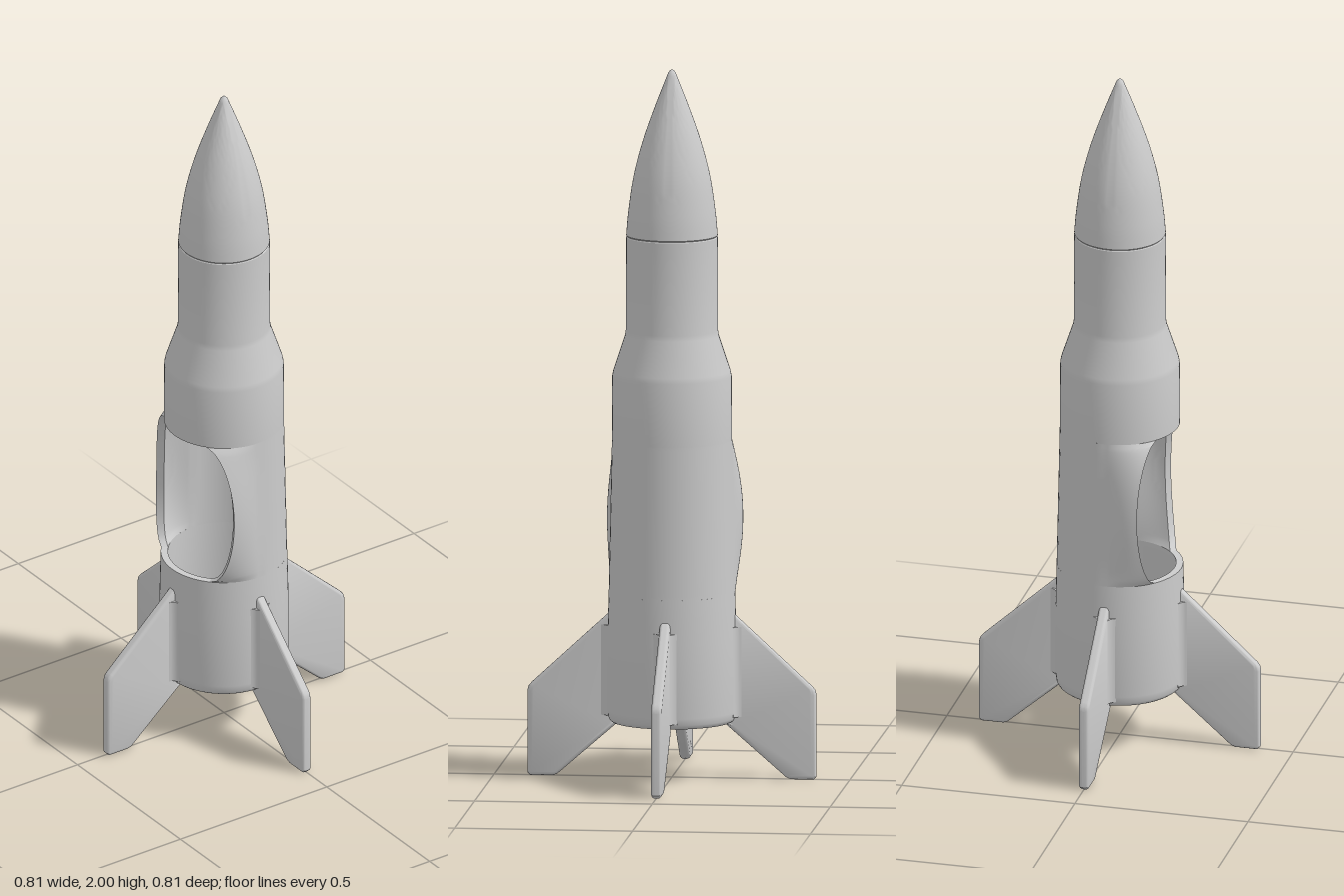
import * as THREE from 'three';
import { toCreasedNormals } from 'three/addons/utils/BufferGeometryUtils.js';

const material = new THREE.MeshStandardMaterial({ color: 0xcccccc, side: THREE.DoubleSide });
const WALL = 0.02;
const BAY_BOTTOM = 0.525, BAY_TOP = 0.955;
const BAY_R0 = 0.177, BAY_R1 = 0.168;

function addMesh(parent, name, geometry, crease = 0.5) {
  const mesh = new THREE.Mesh(toCreasedNormals(geometry, crease), material);
  mesh.name = name;
  parent.add(mesh);
  return mesh;
}

function lathe(points) {
  return new THREE.LatheGeometry(points.map(([r, y]) => new THREE.Vector2(r, y)), 72);
}

// Body wall around the front opening: round at the back, flared cheeks at the sides
function bayGeometry() {
  const rows = 40, half = 24, positions = [], index = [];
  const perRow = 2 * (2 * half + 1);
  for (let j = 0; j <= rows; j++) {
    const t = j / rows;
    const y = THREE.MathUtils.lerp(BAY_BOTTOM, BAY_TOP, t);
    const R = THREE.MathUtils.lerp(BAY_R0, BAY_R1, t);
    const flare = Math.pow(Math.max(0, Math.sin(Math.PI * t)), 0.6);
    const edgeZ = 0.132 - 0.034 * flare;
    const outer = [];
    for (let i = -half; i <= half; i++) {
      const u = Math.abs(i) / half, side = Math.sign(i);
      if (u <= 0.6) {
        const a = (u / 0.6) * Math.PI / 2;
        outer.push([side * R * Math.sin(a), -R * Math.cos(a)]);
      } else {
        const k = (u - 0.6) / 0.4, z = k * edgeZ;
        const round = Math.sqrt(R * R - z * z);
        const cheek = R + 0.018 * Math.sin(k * 1.9);
        outer.push([side * THREE.MathUtils.lerp(round, cheek, flare), z]);
      }
    }
    const scale = (R - WALL) / R;
    const inner = outer.map(([x, z]) => [x * scale, z * scale]).reverse();
    for (const [x, z] of [...outer, ...inner]) positions.push(x, y, z);
  }
  for (let j = 0; j < rows; j++) {
    for (let i = 0; i < perRow; i++) {
      const a = j * perRow + i, b = j * perRow + (i + 1) % perRow;
      index.push(a, a + perRow, b, b, a + perRow, b + perRow);
    }
  }
  const geometry = new THREE.BufferGeometry();
  geometry.setAttribute('position', new THREE.Float32BufferAttribute(positions, 3));
  geometry.setIndex(index);
  return geometry;
}

// Swept fin plate with rounded edges
function finGeometry() {
  const outline = [
    [0.162, 0.16], [0.162, 0.475], [0.18, 0.46], [0.395, 0.262], [0.403, 0.252],
    [0.406, 0.24], [0.406, 0.008], [0.398, 0], [0.335, 0], [0.322, 0.005], [0.15, 0.155],
  ];
  const shape = new THREE.Shape(outline.map(([x, y]) => new THREE.Vector2(x, y)));
  const geometry = new THREE.ExtrudeGeometry(shape, {
    depth: 0.008, bevelEnabled: true, bevelThickness: 0.011, bevelSize: 0.011,
    bevelOffset: -0.011, bevelSegments: 4,
  });
  return geometry.translate(0, 0, -0.004);
}

// Concave fillet joining a fin to the body
function filletGeometry() {
  const shape = new THREE.Shape();
  shape.moveTo(0.168, -0.036);
  shape.lineTo(0.176, -0.034);
  shape.quadraticCurveTo(0.184, -0.016, 0.206, -0.013);
  shape.lineTo(0.206, 0.013);
  shape.quadraticCurveTo(0.184, 0.016, 0.176, 0.034);
  shape.lineTo(0.168, 0.036);
  const geometry = new THREE.ExtrudeGeometry(shape, { depth: 0.255, bevelEnabled: false, curveSegments: 6 });
  return geometry.rotateX(-Math.PI / 2).translate(0, 0.175, 0);
}

export function createModel() {
  const rocket = new THREE.Group();
  rocket.name = 'rocket';

  // Open tail tube with a rounded lower rim
  addMesh(rocket, 'tailTube', lathe([
    [BAY_R0 - WALL, BAY_BOTTOM], [0.158, 0.18], [0.16, 0.165], [0.164, 0.16], [0.169, 0.16],
    [0.174, 0.164], [0.178, 0.172], [0.18, 0.19], [0.18, 0.4], [BAY_R0, BAY_BOTTOM],
    [BAY_R0 - WALL, BAY_BOTTOM],
  ]));

  addMesh(rocket, 'bayWall', bayGeometry());

  // Upper body, shoulder and slim forward tube, hollow at the bottom
  addMesh(rocket, 'upperBody', lathe([
    [0, 1.12], [BAY_R1 - WALL, 1.12], [BAY_R1 - WALL, BAY_TOP], [BAY_R1, BAY_TOP],
    [0.167, 1.135], [0.164, 1.15], [0.131, 1.25], [0.129, 1.265], [0.128, 1.527], [0.126, 1.53],
  ]));

  // Pointed nose with a small blunt tip
  const curve = new THREE.SplineCurve([
    [0.128, 1.533], [0.122, 1.6], [0.107, 1.7], [0.081, 1.8], [0.046, 1.9], [0.014, 1.982],
  ].map(([r, y]) => new THREE.Vector2(r, y)));
  const nose = curve.getPoints(30).map((p) => [p.x, p.y]);
  addMesh(rocket, 'noseCone', lathe([[0.126, 1.53], ...nose, [0.01, 1.992], [0.005, 1.998], [0, 2]]));

  // Four fins around the tail
  for (let i = 0; i < 4; i++) {
    const fin = new THREE.Group();
    fin.name = 'fin' + (i + 1);
    addMesh(fin, 'finPlate', finGeometry(), 0.6);
    addMesh(fin, 'finFillet', filletGeometry());
    fin.rotation.y = i * Math.PI / 2;
    rocket.add(fin);
  }
  return rocket;
}
